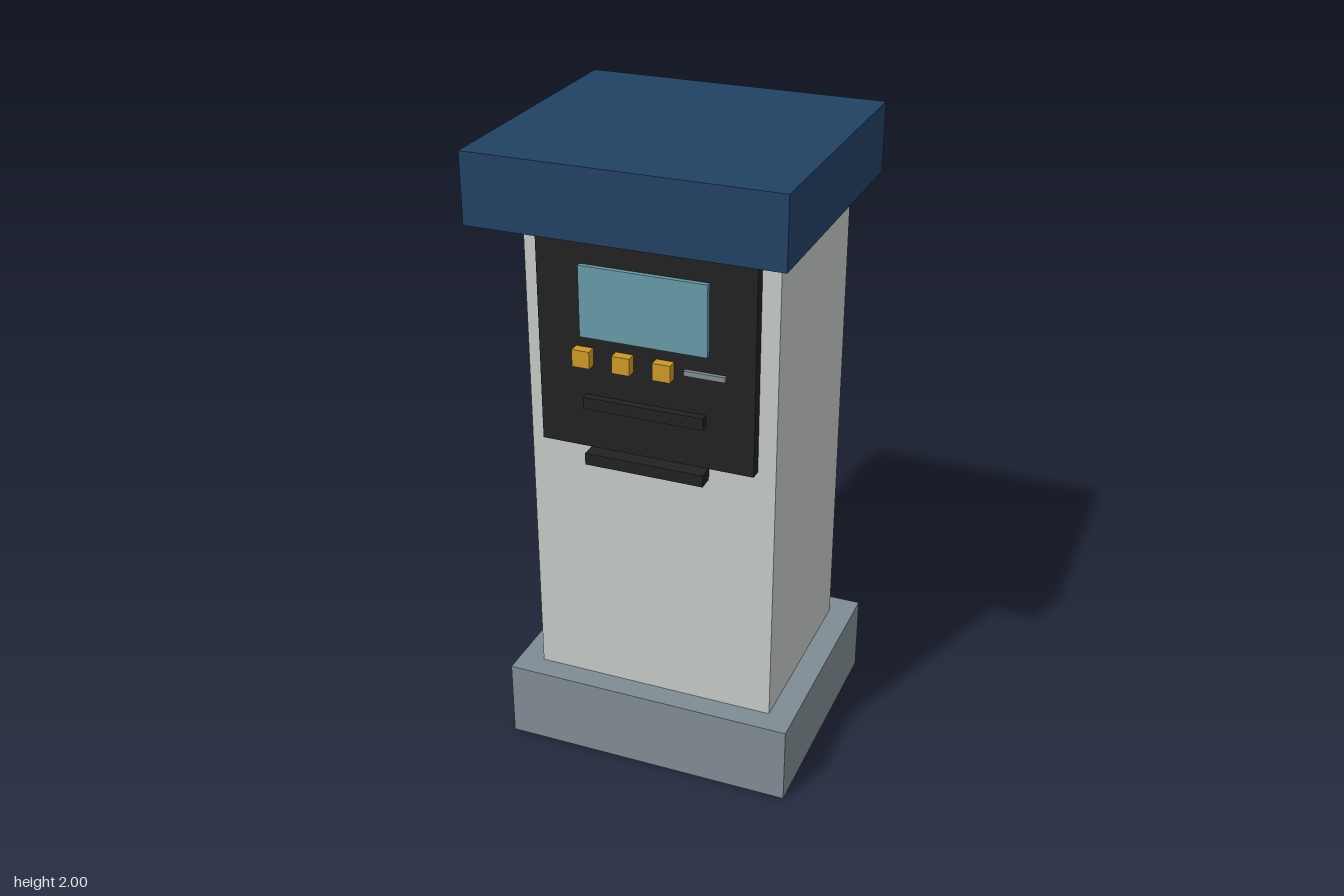
import * as THREE from 'three';

const material = (name, color) => {
  const m = new THREE.MeshStandardMaterial({ color });
  m.name = name;
  return m;
};

export function createModel() {
  const blue = material('navy blue', 0x214163);
  const cream = material('pale grey', 0xc5c9c6);
  const steel = material('steel grey', 0x7f8c93);
  const black = material('black', 0x222222);
  const glass = material('screen teal', 0x6699a7);
  const amber = material('amber', 0xcb9827);

  const kiosk = new THREE.Group();
  kiosk.name = 'kiosk';

  // Adds a box given its [min, max] extent on each axis
  const box = (name, mat, [x0, x1], [y0, y1], [z0, z1], parent = kiosk) => {
    const mesh = new THREE.Mesh(new THREE.BoxGeometry(x1 - x0, y1 - y0, z1 - z0), mat);
    mesh.position.set((x0 + x1) / 2, (y0 + y1) / 2, (z0 + z1) / 2);
    mesh.name = name;
    parent.add(mesh);
    return mesh;
  };

  // Plinth, cabinet and overhanging roof
  box('base', steel, [-0.464, 0.464], [0, 0.25], [-0.448, 0.325]);
  box('cabinet', cream, [-0.385, 0.385], [0.25, 1.79], [-0.37, 0.25]);
  box('roof', blue, [-0.464, 0.464], [1.79, 2], [-0.42, 0.448]);

  // Control panel on the front
  const panel = new THREE.Group();
  panel.name = 'controlPanel';
  kiosk.add(panel);
  box('panelPlate', black, [-0.332, 0.33], [1.088, 1.738], [0.25, 0.285], panel);
  box('screen', glass, [-0.196, 0.192], [1.443, 1.66], [0.285, 0.3], panel);
  [-0.188, -0.064, 0.06].forEach((x, i) =>
    box(`button${i + 1}`, amber, [x - 0.027, x + 0.027], [1.354, 1.407], [0.285, 0.316], panel));
  box('cardSlot', steel, [0.12, 0.244], [1.375, 1.391], [0.285, 0.297], panel);
  box('ticketSlot', black, [-0.186, 0.184], [1.221, 1.258], [0.28, 0.309], panel);
  box('tray', black, [-0.186, 0.184], [1.038, 1.075], [0.26, 0.309], panel);

  // Service door on the back, standing slightly clear of the cabinet
  const door = new THREE.Group();
  door.name = 'serviceDoor';
  kiosk.add(door);
  box('doorLeaf', steel, [-0.4, 0.36], [0.322, 1.637], [-0.407, -0.38], door);
  box('doorHandle', black, [0.244, 0.271], [0.941, 1.017], [-0.431, -0.405], door);

  return kiosk;
}
